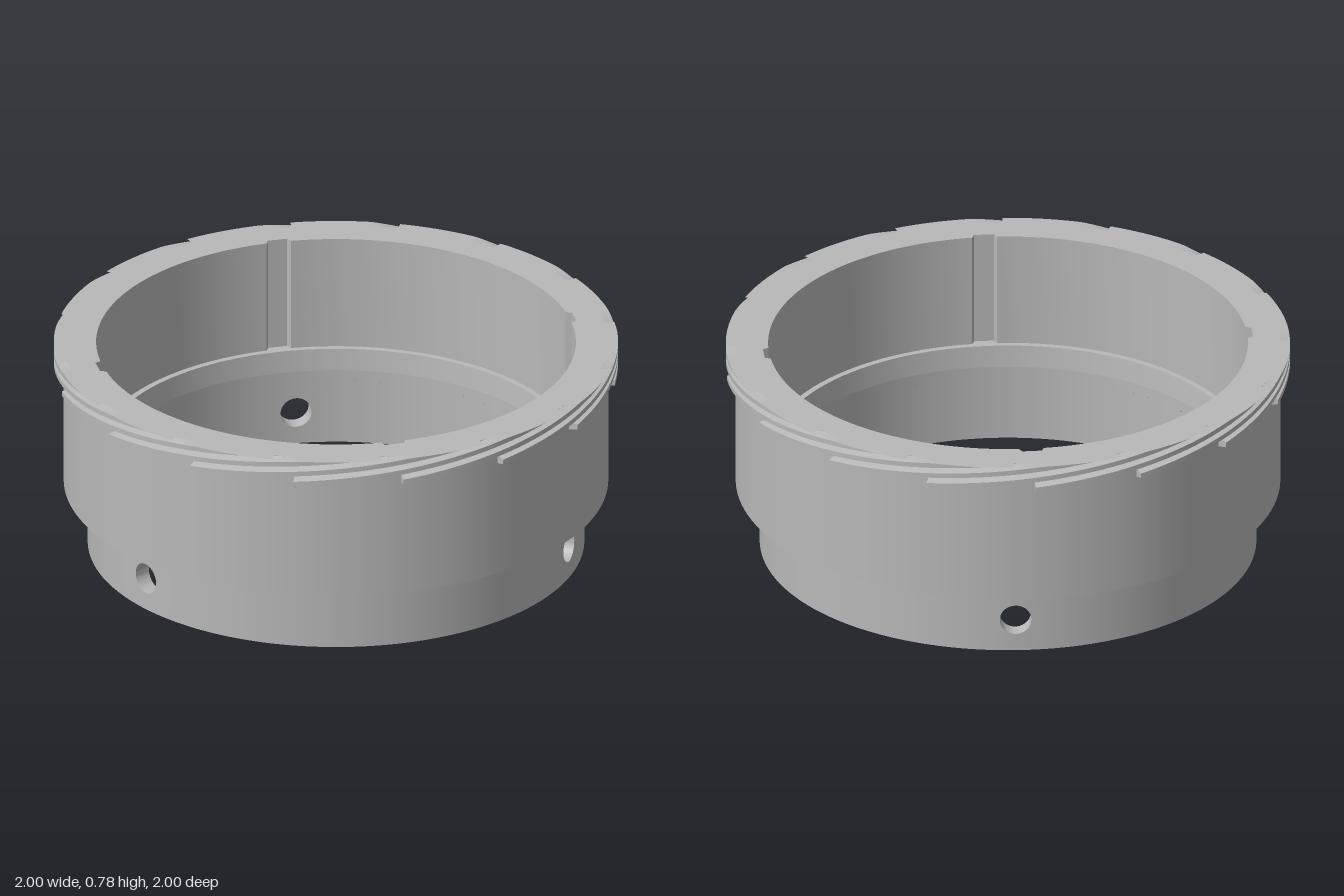
import * as THREE from 'three';
import { mergeGeometries, toCreasedNormals } from 'three/addons/utils/BufferGeometryUtils.js';

const R_SLEEVE = 0.88, R_BODY = 0.965, R_IN = 0.82, R_BORE = 0.85;
const Y_STEP = 0.24, Y_LEDGE = 0.36, Y_TOP = 0.78;
const TAU = Math.PI * 2;

// point on a cylinder, angle measured from +z towards +x
const polar = (r, a, y) => [r * Math.sin(a), y, r * Math.cos(a)];

// grid surface from f(i, j); flip turns the faces round
function grid(f, nu, nv, flip = false) {
  const pos = [], idx = [];
  for (let i = 0; i <= nu; i++) for (let j = 0; j <= nv; j++) pos.push(...f(i, j));
  for (let i = 0; i < nu; i++) for (let j = 0; j < nv; j++) {
    const a = i * (nv + 1) + j, b = a + 1, d = a + nv + 1, c = d + 1;
    idx.push(...(flip ? [a, c, b, a, d, c] : [a, b, c, a, c, d]));
  }
  const g = new THREE.BufferGeometry();
  g.setAttribute('position', new THREE.Float32BufferAttribute(pos, 3));
  g.setIndex(idx);
  g.computeVertexNormals();
  return g;
}

// one sharp-edged straight band of a turned profile
function band(r0, y0, r1, y1, start = 0, length = TAU) {
  const pts = [new THREE.Vector2(r0, y0), new THREE.Vector2(r1, y1)];
  return new THREE.LatheGeometry(pts, Math.ceil(160 * length / TAU), start, length);
}

export function createModel() {
  const grey = new THREE.MeshStandardMaterial({ color: 0xb8b8b8 });
  const group = new THREE.Group();
  const add = (name, geometry) => {
    const mesh = new THREE.Mesh(geometry, grey);
    mesh.name = name;
    group.add(mesh);
  };

  // wide outer wall and the step beneath it
  add('outerWall', band(R_BODY, Y_STEP, R_BODY, Y_TOP));
  add('outerStep', band(R_SLEEVE, Y_STEP, R_BODY, Y_STEP));
  add('bottomEdge', band(R_IN, 0, R_SLEEVE, 0));

  // inner ledge and the slight taper under it
  add('innerLedge', band(0.872, Y_LEDGE, 0.828, Y_LEDGE));
  add('innerTaper', band(0.828, Y_LEDGE, R_IN, 0.28));
  add('innerNeck', band(R_IN, 0.28, R_IN, Y_STEP));

  // lower sleeve with three radial holes
  const holeR = 0.056, half = 0.15, first = 0.98, steps = 40;
  for (let k = 0; k < 3; k++) {
    const mid = first + k * TAU / 3;
    const start = mid + half, length = TAU / 3 - 2 * half;
    add('sleeveOutside', band(R_SLEEVE, 0, R_SLEEVE, Y_STEP, start, length));
    add('sleeveInside', band(R_IN, Y_STEP, R_IN, 0, start, length));

    // patch that blends from the round hole to a rectangle of wall
    const patch = (r) => (i, j) => {
      const p = i / steps * TAU, c = Math.cos(p), s = Math.sin(p), t = j / 4;
      const m = Math.max(Math.abs(c), Math.abs(s));
      const a = THREE.MathUtils.lerp(Math.asin(holeR * c / r), half * c / m, t);
      const y = THREE.MathUtils.lerp(holeR * s, Y_STEP / 2 * s / m, t);
      return polar(r, mid + a, Y_STEP / 2 + y);
    };
    const outer = patch(R_SLEEVE), inner = patch(R_IN);
    add('holeSurround', toCreasedNormals(mergeGeometries([
      grid(outer, steps, 4),
      grid(inner, steps, 4, true),
      grid((i, j) => (j ? outer : inner)(i, 0), steps, 1),
    ]), 0.5));
  }

  // upper bore outline with four shallow key slots
  const loop = [];
  for (let k = 0; k < 4; k++) {
    const mid = k * Math.PI / 2;
    for (const [a, r] of [[-0.052, R_BORE], [-0.04, 0.87], [0.04, 0.87]]) loop.push([r, mid + a]);
    for (let i = 0; i < 40; i++) {
      loop.push([R_BORE, mid + 0.052 + (Math.PI / 2 - 0.104) * i / 40]);
    }
  }
  const bore = grid((i, j) => {
    const [r, a] = loop[i % loop.length];
    return polar(r, a, j ? Y_TOP : Y_LEDGE);
  }, loop.length, 1);
  add('slottedBore', toCreasedNormals(bore, 0.4));

  // flat top rim
  const rim = new THREE.Shape();
  rim.absarc(0, 0, R_BODY, 0, TAU);
  rim.holes.push(new THREE.Path(loop.map(([r, a]) =>
    new THREE.Vector2(r * Math.sin(a), -r * Math.cos(a)))));
  const rimGeo = new THREE.ShapeGeometry(rim, 160);
  rimGeo.rotateX(-Math.PI / 2).translate(0, Y_TOP, 0);
  add('topRim', rimGeo);

  // sixteen helical thread ridges, blunt at the start, cut off by the rim
  const section = [[0.964, 0.017], [1, 0.009], [1, -0.009], [0.964, -0.017]];
  const sweep = 1.1, n = 44;
  const ridge = toCreasedNormals(grid((i, j) => {
    const a = Math.max(i - 1, 0) / n * sweep;
    const [r, dy] = section[j];
    return polar(i ? r : 0.964, a, Math.min(0.69 + 0.1 * a + dy, Y_TOP));
  }, n + 1, 3), 0.4);
  for (let k = 0; k < 16; k++) {
    add('threadRidge', ridge);
    group.children.at(-1).rotation.y = k * TAU / 16;
  }
  return group;
}
